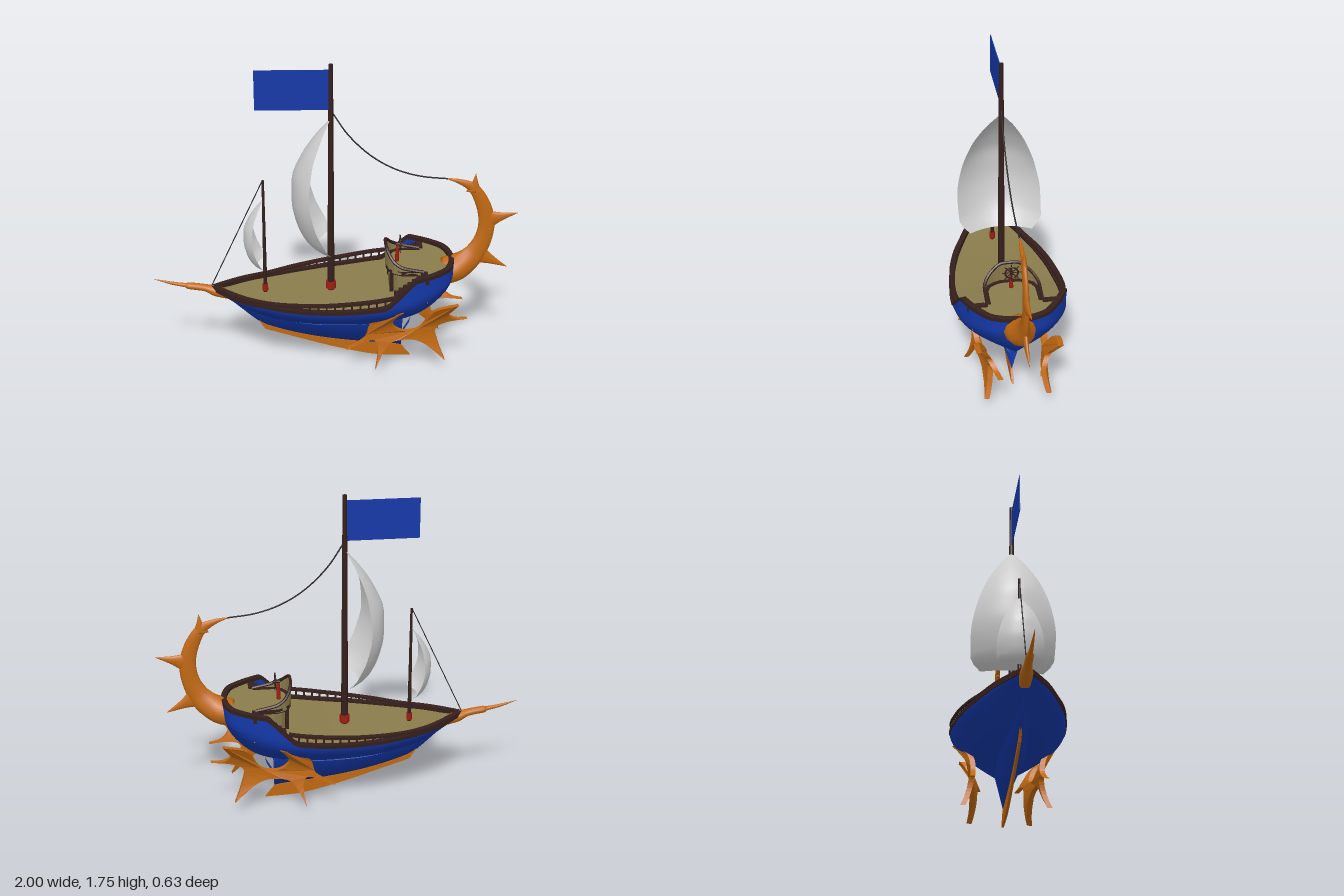
import * as THREE from 'three';

const V = (x, y, z = 0) => new THREE.Vector3(x, y, z);
const mat = (color, flatShading = false) =>
  new THREE.MeshStandardMaterial({ color, flatShading, side: THREE.DoubleSide });
const blue = mat(0x1438a8), orange = mat(0xc06812), orangeFlat = mat(0xc06812, true);
const brown = mat(0x351f1b, true), olive = mat(0x8a7c4c, true), red = mat(0xa01c10);
const cloth = mat(0xcccccc), ropeMat = mat(0x2a2a2a);

// Smooth, overshoot-free function through a few points
function curve(pts) {
  const n = pts.length;
  const sec = i => (pts[i + 1][1] - pts[i][1]) / (pts[i + 1][0] - pts[i][0]);
  const slope = i => {
    if (i === 0) return sec(0);
    if (i === n - 1) return sec(n - 2);
    const a = sec(i - 1), b = sec(i);
    return a * b <= 0 ? 0 : (2 * a * b) / (a + b);
  };
  return x => {
    if (x <= pts[0][0]) return pts[0][1];
    if (x >= pts[n - 1][0]) return pts[n - 1][1];
    let i = 0;
    while (x > pts[i + 1][0]) i++;
    const h = pts[i + 1][0] - pts[i][0], t = (x - pts[i][0]) / h, t2 = t * t, t3 = t2 * t;
    return (2 * t3 - 3 * t2 + 1) * pts[i][1] + (t3 - 2 * t2 + t) * h * slope(i)
      + (3 * t2 - 2 * t3) * pts[i + 1][1] + (t3 - t2) * h * slope(i + 1);
  };
}

// Skin over a row of cross-sections; closed sections get end caps
function loft(rings, closed) {
  const m = rings[0].length, pos = rings.flat().flatMap(p => [p.x, p.y, p.z]), idx = [];
  for (let i = 0; i < rings.length - 1; i++)
    for (let j = 0; j < (closed ? m : m - 1); j++) {
      const a = i * m + j, b = i * m + (j + 1) % m;
      idx.push(a, b, a + m, b, b + m, a + m);
    }
  if (closed) for (let j = 1; j < m - 1; j++) {
    const e = (rings.length - 1) * m;
    idx.push(0, j + 1, j, e, e + j, e + j + 1);
  }
  const g = new THREE.BufferGeometry();
  g.setAttribute('position', new THREE.Float32BufferAttribute(pos, 3));
  g.setIndex(idx);
  g.computeVertexNormals();
  return g;
}

// Rectangular strip following a path, w inward and h downward
function band(path, w, h) {
  return loft(path.map((p, i) => {
    const t = path[Math.min(i + 1, path.length - 1)].clone().sub(path[Math.max(i - 1, 0)]).setY(0).normalize();
    const q = p.clone().add(V(t.z * w, 0, -t.x * w));
    return [p, q, q.clone().setY(q.y - h), p.clone().setY(p.y - h)];
  }), true);
}

// Tapered horn in the z = 0 plane: points are [x, y, halfInPlane, halfAcross]
function horn(pts, steps = 24) {
  const c = new THREE.CatmullRomCurve3(pts.map(p => V(p[0], p[1])));
  const k = pts.map((p, i) => i / (pts.length - 1));
  const fa = curve(pts.map((p, i) => [k[i], p[2]])), fb = curve(pts.map((p, i) => [k[i], p[3]]));
  return loft(Array.from({ length: steps + 1 }, (_, i) => {
    const u = i / steps, p = c.getPoint(u), t = c.getTangent(u);
    return Array.from({ length: 12 }, (_, j) => {
      const f = j * Math.PI / 6, s = Math.cos(f) * fa(u);
      return V(p.x - t.y * s, p.y + t.x * s, Math.sin(f) * fb(u));
    });
  }), true);
}

// Hull lines along x
const beam = curve([[-0.69, 0.004], [-0.62, 0.06], [-0.5, 0.14], [-0.4, 0.185], [-0.2, 0.255], [0, 0.295], [0.22, 0.312],
  [0.4, 0.29], [0.51, 0.24], [0.58, 0.19], [0.62, 0.15], [0.65, 0.075], [0.662, 0]]);
const sheer = curve([[-0.69, 0.46], [-0.55, 0.442], [-0.3, 0.435], [0, 0.447], [0.3, 0.482], [0.662, 0.56]]);
const belly = curve([[-0.69, 0.445], [-0.6, 0.385], [-0.45, 0.29], [-0.3, 0.24], [-0.1, 0.213], [0.1, 0.208], [0.3, 0.222],
  [0.42, 0.25], [0.5, 0.29], [0.6, 0.39], [0.645, 0.48], [0.662, 0.54]]);
const lift = curve([[0.28, 0], [0.34, 0.35], [0.43, 1]]);
const topY = x => THREE.MathUtils.lerp(sheer(x), 0.627, lift(x));
const stations = (x0, x1, n) => Array.from({ length: n + 1 }, (_, i) => x0 + (x1 - x0) * Math.sin(i / n * Math.PI / 2));
const keelLine = curve([[-0.6, 0.39], [-0.5, 0.3], [-0.4, 0.215], [0, 0.11], [0.38, 0.068]]);

export function createModel() {
  const ship = new THREE.Group();
  const add = (name, geo, material, x = 0, y = 0, z = 0) => {
    const m = new THREE.Mesh(geo, material);
    m.name = name;
    m.position.set(x, y, z);
    ship.add(m);
    return m;
  };
  const tube = (name, pts, r, material, n = 24) =>
    add(name, new THREE.TubeGeometry(new THREE.CatmullRomCurve3(pts), n, r, 6), material);

  // Hull, V-shaped lower hull and keel
  const xs = stations(-0.69, 0.662, 56);
  add('hull', loft(xs.map(x => Array.from({ length: 33 }, (_, j) => {
    const v = Math.abs(j - 16) / 16, y = belly(x) + v * (topY(x) - belly(x));
    const f = Math.min(1, (y - belly(x)) / (sheer(x) - belly(x)));
    return V(x, y, Math.sign(j - 16) * beam(x) * Math.sin(f * Math.PI / 2));
  }))), blue);
  const vee = curve([[-0.6, 0], [-0.4, 0.04], [0, 0.07], [0.3, 0.06], [0.38, 0.05]]);
  const lower = stations(-0.6, 0.38, 24).map(x => [V(x, belly(x) + 0.03, -vee(x)), V(x, keelLine(x)), V(x, belly(x) + 0.03, vee(x))]);
  lower.push([V(0.37, 0.14), V(0.37, 0.12), V(0.37, 0.14)], [V(0.43, 0.25), V(0.42, 0.21), V(0.43, 0.25)]);
  add('lowerHull', loft(lower), blue);
  const keel = new THREE.Shape();
  keel.moveTo(-0.43, 0.245);
  keel.lineTo(-0.39, 0.185);
  keel.splineThru([[-0.1, 0.093], [0.05, 0.05], [0.2, 0.015], [0.3, 0.004], [0.43, 0]].map(p => new THREE.Vector2(...p)));
  keel.lineTo(0.375, 0.068);
  for (let x = 0.34; x > -0.41; x -= 0.06) keel.lineTo(x, keelLine(x) + 0.004);
  add('keel', new THREE.ExtrudeGeometry(keel, { depth: 0.014, bevelEnabled: false }), orangeFlat, 0, 0, -0.007);

  // Decks
  const half = (x0, x1, y, inset, n = 40) => stations(x0, x1, n).map(x => V(x, y(x), Math.max(0, beam(x) - inset)));
  const flip = p => V(p.x, p.y, -p.z);
  add('mainDeck', loft(half(-0.67, 0.52, x => sheer(x) - 0.012, 0.008).map(p => [p, flip(p)])), olive);
  const front = [[0.28, 0], [0.282, 0.05], [0.295, 0.09], [0.32, 0.125], [0.36, 0.145], [0.42, 0.147], [0.48, 0.147]];
  const frontLine = y => [...front.slice(1).reverse().map(p => V(p[0], y(p[0]), p[1])), ...front.map(p => V(p[0], y(p[0]), -p[1]))];
  const plate = (pts, depth) => new THREE.ExtrudeGeometry(
    new THREE.Shape(pts.map(p => new THREE.Vector2(p.x, -p.z))), { depth, bevelEnabled: false }).rotateX(-Math.PI / 2);
  const aft = half(0.49, 0.655, () => 0, 0.01, 16);
  add('quarterDeck', plate([...frontLine(() => 0), ...aft.map(flip), ...aft.slice().reverse()], 0.015), olive, 0, 0.59, 0);
  add('cabinBlock', plate(frontLine(() => 0).map(p => V(p.x + 0.02, 0, p.z * 0.96)), 0.14), olive, 0, 0.455, 0);
  add('aftBulkhead', new THREE.BoxGeometry(0.012, 0.14, 0.46), olive, 0.495, 0.53, 0);

  // Balcony rim, curved parapet and its cap
  const parapet = curve([[0.28, 0.72], [0.3, 0.685], [0.33, 0.652], [0.38, 0.63], [0.48, 0.61]]);
  add('balconyRim', band(frontLine(() => 0.61), -0.02, 0.025), brown);
  add('parapet', loft(frontLine(parapet).map(p => [p, V(p.x, 0.6, p.z)])), olive);
  tube('parapetCap', frontLine(parapet), 0.009, brown, 40);
  for (const s of [-1, 1]) {
    add('balconyPost', new THREE.BoxGeometry(0.02, 0.15, 0.02), brown, 0.31, 0.53, s * 0.1);
    add('quarterRimEnd', new THREE.BoxGeometry(0.018, 0.025, 0.11), brown, 0.492, 0.6, s * 0.2);
    for (let i = 0; i < 7; i++)
      add('stairTread', new THREE.BoxGeometry(0.027, 0.022, 0.1), brown, 0.335 + i * 0.024, 0.488 + i * 0.018, s * 0.2);
  }

  // Gunwale round the whole hull, side rails and balusters
  const edge = half(-0.69, 0.662, x => topY(x) + 0.003, -0.002, 56);
  add('gunwale', band([...edge, ...edge.slice(0, -1).reverse().map(flip)], 0.03, 0.02), brown);
  const railY = curve([[-0.69, 0.465], [-0.4, 0.452], [-0.2, 0.468], [0, 0.49], [0.32, 0.535]]);
  const rail = half(-0.69, 0.32, railY, 0);
  for (const s of [1, -1]) {
    add('rail', band(s > 0 ? rail : rail.map(flip), s * 0.03, 0.012), brown);
    for (let x = -0.32; x < 0.3; x += 0.045) {
      const h = railY(x) - sheer(x);
      add('baluster', new THREE.BoxGeometry(0.01, h, 0.01), brown, x, sheer(x) + h / 2 - 0.004, s * (beam(x) - 0.015));
    }
  }

  // Masts, collars, flag and ropes
  const mast = (name, x, y0, y1, r) => {
    add(name, new THREE.CylinderGeometry(r * 0.6, r, y1 - y0, 12), brown, x, (y0 + y1) / 2, 0);
    add(name + 'Collar', new THREE.CylinderGeometry(r * 1.35, r * 1.45, 0.04, 12), red, x, y0 + 0.03, 0);
  };
  mast('mainMast', -0.02, 0.435, 1.75, 0.02);
  mast('foreMast', -0.385, 0.422, 1.1, 0.011);
  add('flag', new THREE.BoxGeometry(0.4, 0.22, 0.004), blue, -0.22, 1.61, 0);
  tube('aftRope', [V(-0.015, 1.49), V(0.07, 1.36), V(0.19, 1.24), V(0.32, 1.16), V(0.46, 1.115), V(0.61, 1.098)], 0.004, ropeMat);
  tube('foreStay', [V(-0.685, 0.46), V(-0.387, 1.1)], 0.003, ropeMat, 2);

  // Billowing sails, measured down from the head
  const mid = curve([[0, 0], [0.16, -0.1], [0.3, -0.165], [0.46, -0.21], [0.62, -0.212], [0.8, -0.185], [0.92, -0.14], [1, -0.08]]);
  const side = curve([[0, 0], [0.16, -0.06], [0.34, -0.105], [0.55, -0.12], [0.75, -0.09], [0.9, -0.04], [1, 0]]);
  const width = curve([[0, 0.003], [0.15, 0.08], [0.35, 0.155], [0.55, 0.205], [0.75, 0.23], [0.92, 0.226], [1, 0.17]]);
  const sail = loft(Array.from({ length: 25 }, (_, i) => Array.from({ length: 17 }, (_, j) => {
    const t = i / 24, s = (j - 8) / 8;
    return V(THREE.MathUtils.lerp(mid(t), side(t), s * s), -t * (0.755 - 0.02 * s * s), s * width(t));
  })));
  add('mainSail', sail, cloth, -0.02, 1.455, 0);
  add('foreSail', sail, cloth, -0.385, 0.99, 0).scale.setScalar(0.53);

  // Steering wheel on its stand
  add('wheelStand', new THREE.CylinderGeometry(0.007, 0.012, 0.1, 8), red, 0.345, 0.655, 0);
  add('wheelRim', new THREE.TorusGeometry(0.034, 0.005, 6, 20).rotateY(Math.PI / 2), brown, 0.362, 0.71, 0);
  add('wheelHub', new THREE.CylinderGeometry(0.009, 0.009, 0.035, 8).rotateZ(Math.PI / 2), brown, 0.355, 0.71, 0);
  for (let i = 0; i < 4; i++)
    add('wheelSpoke', new THREE.CylinderGeometry(0.003, 0.003, 0.104, 5), brown, 0.362, 0.71, 0).rotation.x = i * Math.PI / 4;

  // Horned bowsprit and curling tail with spikes
  add('bowsprit', horn([[-1, 0.51, 0.001, 0.001], [-0.9, 0.483, 0.009, 0.008], [-0.83, 0.47, 0.012, 0.012], [-0.81, 0.466, 0.019, 0.019],
    [-0.72, 0.452, 0.02, 0.022], [-0.66, 0.432, 0.03, 0.034], [-0.59, 0.405, 0.022, 0.03]], 30), orange);
  add('tail', horn([[0.61, 0.54, 0.075, 0.088], [0.67, 0.56, 0.075, 0.08], [0.73, 0.6, 0.07, 0.05], [0.78, 0.66, 0.058, 0.026],
    [0.82, 0.75, 0.048, 0.018], [0.83, 0.85, 0.044, 0.016], [0.8, 0.96, 0.038, 0.015], [0.745, 1.045, 0.028, 0.014],
    [0.67, 1.082, 0.014, 0.01], [0.6, 1.1, 0.002, 0.002]], 40), orange);
  const spike = (x0, y0, x1, y1, r) => add('tailSpike', horn([[x0, y0, r, 0.015],
    [x0 + (x1 - x0) * 0.45, y0 + (y1 - y0) * 0.45, r * 0.42, 0.012], [x1, y1, 0.001, 0.001]], 10), orange);
  spike(0.755, 1.02, 0.76, 1.125, 0.045);
  spike(0.825, 0.85, 1, 0.89, 0.065);
  spike(0.775, 0.65, 0.957, 0.56, 0.07);

  // Branching side fins: tips joined by curved valleys, bent around the hull
  const tips = [[0.364, 0.433], [0.06, 0.16], [0.22, 0.05], [0.61, 0.07], [0.733, 0.3], [0.67, 0.44]];
  const valleys = [[[0.24, 0.39], [0.185, 0.3], [0.16, 0.225]], [[0.15, 0.2], [0.215, 0.215], [0.235, 0.15]],
    [[0.29, 0.185], [0.38, 0.215], [0.48, 0.185]], [[0.575, 0.16], [0.555, 0.26], [0.62, 0.295]],
    [[0.665, 0.31], [0.625, 0.35], [0.645, 0.39]], [[0.54, 0.405], [0.47, 0.28], [0.37, 0.27], [0.31, 0.33]]];
  const fin = new THREE.Shape();
  tips.forEach((t, i) => {
    if (i === 0) fin.moveTo(...t);
    fin.splineThru([...valleys[i], tips[(i + 1) % tips.length]].map(p => new THREE.Vector2(...p)));
  });
  const finGeo = new THREE.ExtrudeGeometry(fin, { depth: 0.028, bevelEnabled: false, curveSegments: 4 });
  const fp = finGeo.attributes.position;
  for (let i = 0; i < fp.count; i++) {
    const d = fp.getY(i) - 0.25, x = fp.getX(i);
    fp.setZ(i, fp.getZ(i) + 0.172 + (d > 0 ? 2.7 : 1.2) * d * d - 0.22 * Math.max(0, x - 0.36));
  }
  finGeo.computeVertexNormals();
  add('leftFin', finGeo, orangeFlat);
  add('rightFin', finGeo, orangeFlat).scale.z = -1;

  return ship;
}
